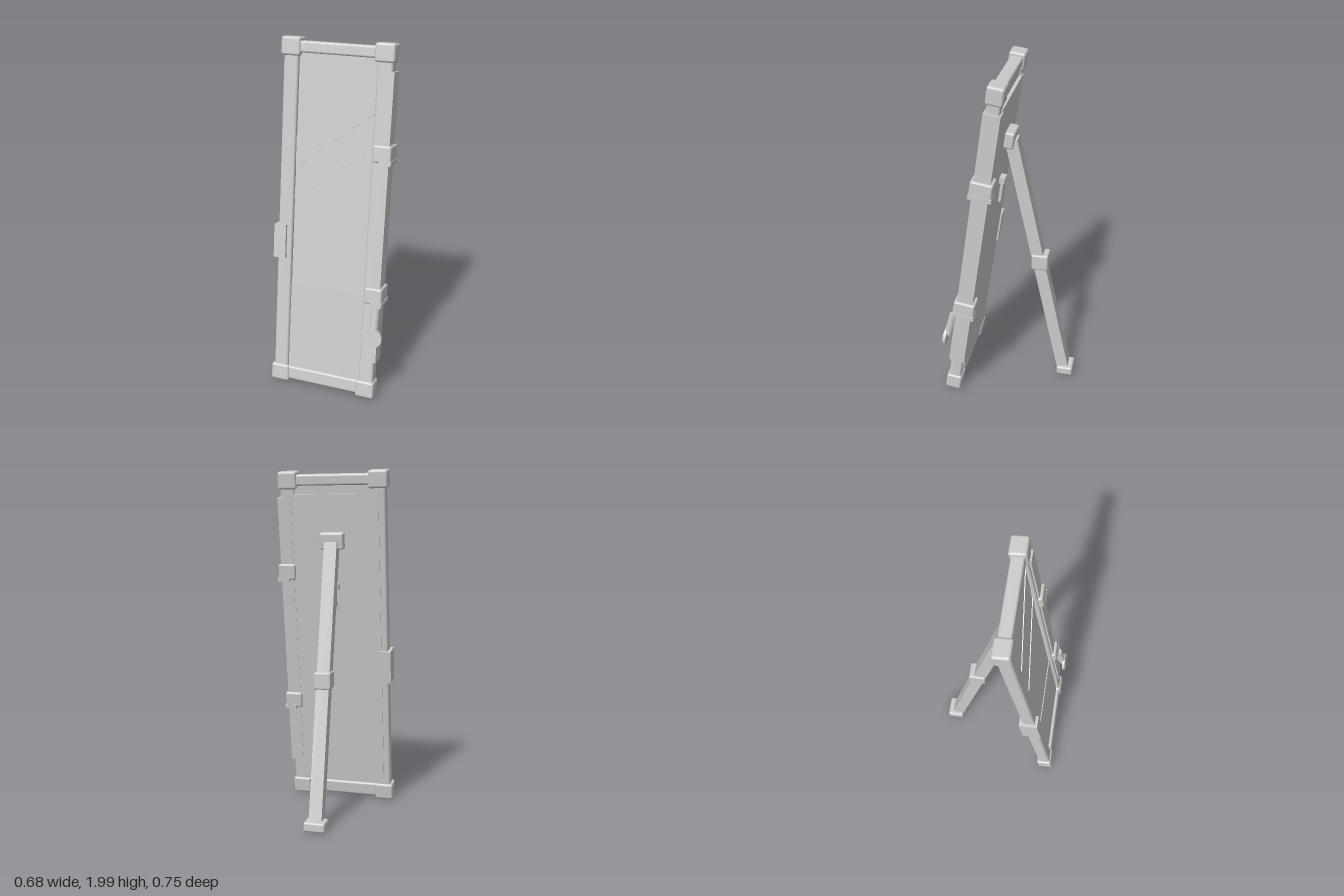
import * as THREE from 'three';
import { RoundedBoxGeometry } from 'three/addons/geometries/RoundedBoxGeometry.js';

const LEAN = 0.1496;

export function createModel() {
  const model = new THREE.Group();
  const grey = new THREE.MeshStandardMaterial({ color: 0xcccccc });
  grey.name = 'light grey';

  const add = (parent, name, geometry, x = 0, y = 0, z = 0) => {
    const mesh = new THREE.Mesh(geometry, grey);
    mesh.name = name;
    mesh.position.set(x, y, z);
    parent.add(mesh);
    return mesh;
  };
  // Box given by its limits, with optional rounded edges
  const span = (parent, name, [x0, x1], [y0, y1], [z0, z1], r = 0) => {
    const size = [x1 - x0, y1 - y0, z1 - z0];
    const geometry = r ? new RoundedBoxGeometry(...size, 3, r) : new THREE.BoxGeometry(...size);
    return add(parent, name, geometry, (x0 + x1) / 2, (y0 + y1) / 2, (z0 + z1) / 2);
  };

  // Leaning frame, measured along its own slope
  const frame = new THREE.Group();
  frame.name = 'leaningFrame';
  frame.position.set(0, 0.063, 0.322);
  frame.rotation.x = -LEAN;
  model.add(frame);
  const H = 1.905;
  // Height above ground at depth z -> height along the slope
  const up = (y, z = 0) => (y - 0.063 - z * Math.sin(LEAN)) / Math.cos(LEAN);

  for (const x of [-0.285, 0.241]) {
    for (const y of [0, H]) {
      add(frame, 'cornerBlock', new RoundedBoxGeometry(0.11, 0.1, 0.093, 3, 0.014), x, y, 0);
    }
  }
  span(frame, 'topRail', [-0.25, 0.2], [H - 0.031, H + 0.031], [-0.035, 0.035], 0.012);
  span(frame, 'bottomRail', [-0.25, 0.2], [-0.036, 0.045], [-0.037, 0.037], 0.012);
  span(frame, 'rightPost', [-0.326, -0.241], [0, H], [-0.037, 0.037], 0.014);
  span(frame, 'leftPost', [0.201, 0.286], [0, H], [-0.037, 0.037], 0.014);

  // Board with the mirror face
  span(frame, 'mirrorPanel', [-0.245, 0.205], [0.02, H - 0.02], [-0.025, 0.013]);
  span(frame, 'backPanel', [-0.288, 0.245], [0.068, up(1.87)], [-0.043, -0.024]);
  span(frame, 'lowerMirrorPanel', [-0.241, 0.201], [0.03, up(0.62, 0.018)], [0.012, 0.018]);
  for (const [y0, y1] of [[1.12, 1.185], [1.305, 1.49]]) {
    const a = up(y0, 0.018), b = up(y1, 0.018), rise = 0.333;
    const shape = new THREE.Shape([
      new THREE.Vector2(-0.241, a), new THREE.Vector2(0.201, a + rise),
      new THREE.Vector2(0.201, b + rise), new THREE.Vector2(-0.241, b),
    ]);
    add(frame, 'diagonalGlint', new THREE.ExtrudeGeometry(shape, { depth: 0.006, bevelEnabled: false }), 0, 0, 0.012);
  }

  // Long outer sleeve with two clamps
  span(frame, 'sideSleeve', [0.222, 0.3], [up(0.24), up(1.853)], [-0.046, 0.046]);
  for (const y of [up(1.425), up(0.635)]) {
    span(frame, 'clamp', [0.212, 0.314], [y - 0.045, y + 0.05], [-0.063, 0.063], 0.012);
    span(frame, 'clampLip', [0.25, 0.318], [y - 0.055, y - 0.03], [-0.065, 0.065]);
  }

  // Dial hanging from the lower clamp
  const ky = up(0.42, 0.087);
  const stem = add(frame, 'dialStem', new THREE.CylinderGeometry(0.023, 0.023, 0.15, 24), 0.286, ky + 0.095, 0.066);
  stem.rotation.x = -0.1;
  const dial = add(frame, 'dial', new THREE.CylinderGeometry(0.054, 0.054, 0.018, 40), 0.286, ky, 0.087);
  dial.rotation.x = Math.PI / 2;

  // Bracket around the opposite post
  span(frame, 'sideBracket', [-0.344, -0.272], [up(0.78, 0.05), up(0.972, 0.05)], [-0.053, 0.053]);

  // Hinge and latch on the back
  span(frame, 'hingeBlock', [-0.09, 0.048], [up(1.605) - 0.04, up(1.605) + 0.055], [-0.095, -0.04], 0.012);
  span(frame, 'latchHead', [-0.05, 0.008], [up(1.33), up(1.365)], [-0.075, -0.04]);
  span(frame, 'latchArm', [-0.034, -0.008], [up(1.205), up(1.36)], [-0.068, -0.052]);

  // Rear prop leg
  const top = new THREE.Vector3(-0.021, 1.59, 0.015);
  const foot = new THREE.Vector3(-0.021, 0.045, -0.315);
  const mid = top.clone().add(foot).multiplyScalar(0.5);
  const leg = add(model, 'propLeg', new THREE.BoxGeometry(0.074, top.distanceTo(foot), 0.07), mid.x, mid.y, mid.z);
  leg.rotation.x = Math.atan2(top.z - foot.z, top.y - foot.y);
  span(model, 'legCollar', [-0.069, 0.027], [0.782, 0.88], [-0.203, -0.106], 0.01);
  span(model, 'legFoot', [-0.082, 0.04], [0.015, 0.07], [-0.376, -0.278], 0.012);

  return model;
}
